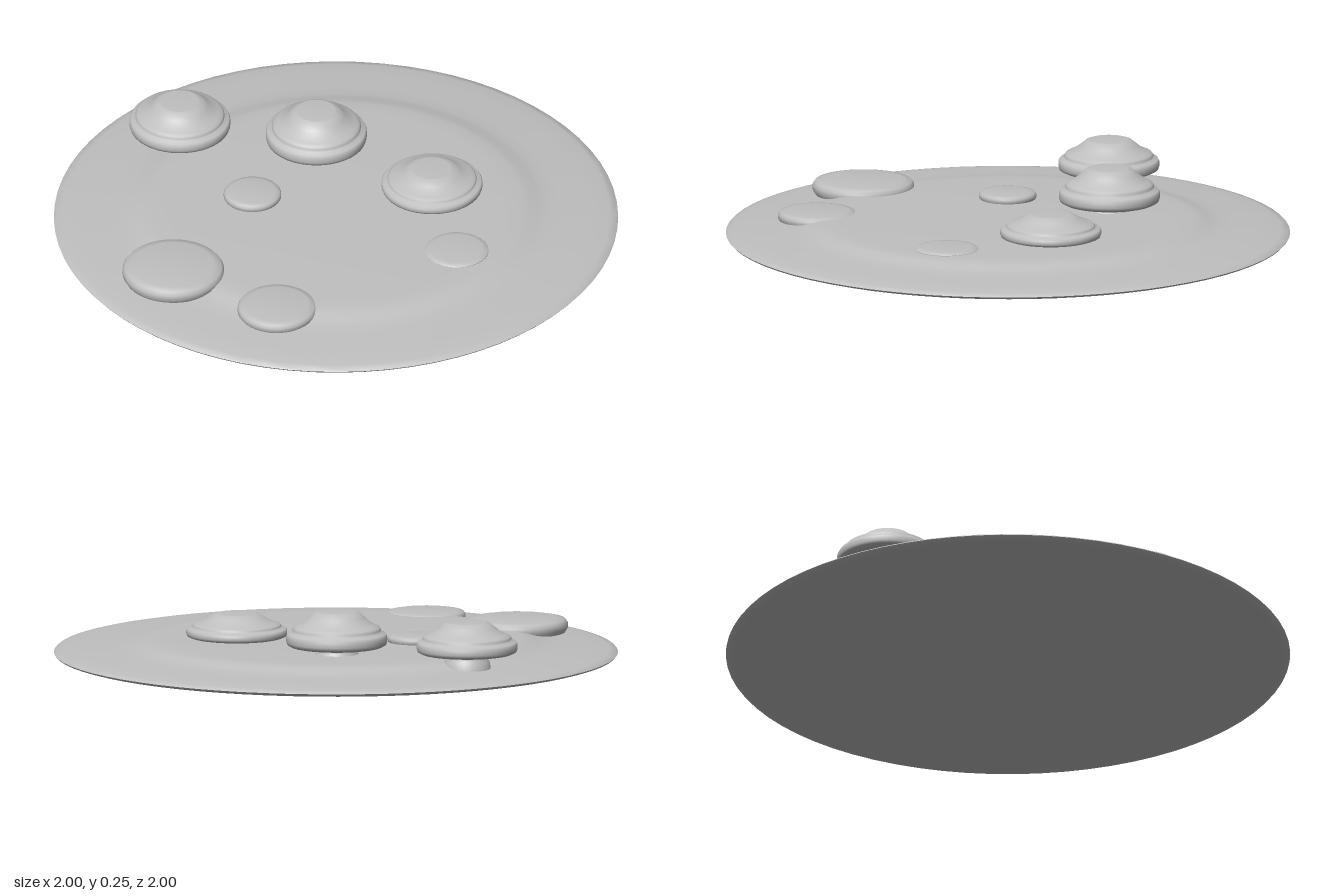
import * as THREE from 'three';
import { toCreasedNormals } from 'three/addons/utils/BufferGeometryUtils.js';

const grey = new THREE.MeshStandardMaterial({ color: 0xbfbfbf });
grey.name = 'plainGrey';

// Turned part from a profile of [radius, height], listed bottom to top
function turned(name, profile, segments, crease) {
  const points = profile.map(([r, y]) => new THREE.Vector2(r, y));
  const geometry = toCreasedNormals(new THREE.LatheGeometry(points, segments), crease);
  const mesh = new THREE.Mesh(geometry, grey);
  mesh.name = name;
  return mesh;
}

// Stepped cap on a short flared stem
function steppedCap(name, x, z, base, height) {
  const group = new THREE.Group();
  group.name = name;
  const cap = turned('cap', [
    [0, 0], [0.165, 0], [0.176, 0.05], [0.179, 0.13], [0.179, 0.28], [0.174, 0.36], [0.158, 0.4],
    [0.158, 0.47], [0.153, 0.54], [0.14, 0.59], [0.122, 0.66],
    [0.1, 0.82], [0.082, 0.95], [0.07, 0.985], [0.04, 1], [0, 1],
  ], 40, 0.7);
  cap.scale.y = height;
  cap.position.y = base;
  const stem = turned('stem', [[0.085, 0.07], [0.08, 0.1], [0.07, 0.112], [0.07, base + 0.005]], 32, 0.7);
  group.add(cap, stem);
  group.position.set(x, 0, z);
  return group;
}

// Thin round pad with a softened edge
function pad(name, x, z, radius, bottom, top) {
  const h = top - bottom;
  const mesh = turned(name, [
    [0, 0], [radius * 0.95, 0], [radius, h * 0.3], [radius, h * 0.65],
    [radius * 0.95, h * 0.9], [radius * 0.8, h], [0, h],
  ], 40, 0.8);
  mesh.position.set(x, bottom, z);
  return mesh;
}

export function createModel() {
  const model = new THREE.Group();
  model.name = 'discWithCaps';

  // Wide lens-shaped base with a slightly raised centre
  model.add(turned('baseDisc', [
    [0, 0], [0.4, 0.003], [0.7, 0.014], [0.88, 0.027], [0.975, 0.038], [0.995, 0.044], [1, 0.05],
    [0.995, 0.055], [0.97, 0.06], [0.9, 0.067], [0.8, 0.074], [0.75, 0.079],
    [0.72, 0.085], [0.69, 0.095], [0.66, 0.1], [0.6, 0.102], [0, 0.104],
  ], 72, 1));

  // Three stepped caps
  model.add(steppedCap('leftCap', 0.32, -0.15, 0.11, 0.085));
  model.add(steppedCap('middleCap', -0.13, -0.36, 0.13, 0.125));
  model.add(steppedCap('rightCap', -0.62, -0.36, 0.13, 0.112));

  // Four low pads
  model.add(pad('largePad', -0.5, 0.51, 0.18, 0.075, 0.125));
  model.add(pad('frontPad', -0.1, 0.675, 0.14, 0.07, 0.107));
  model.add(pad('smallPad', -0.3, 0, 0.102, 0.1, 0.128));
  model.add(pad('sidePad', 0.47, 0.22, 0.113, 0.09, 0.11));

  return model;
}
